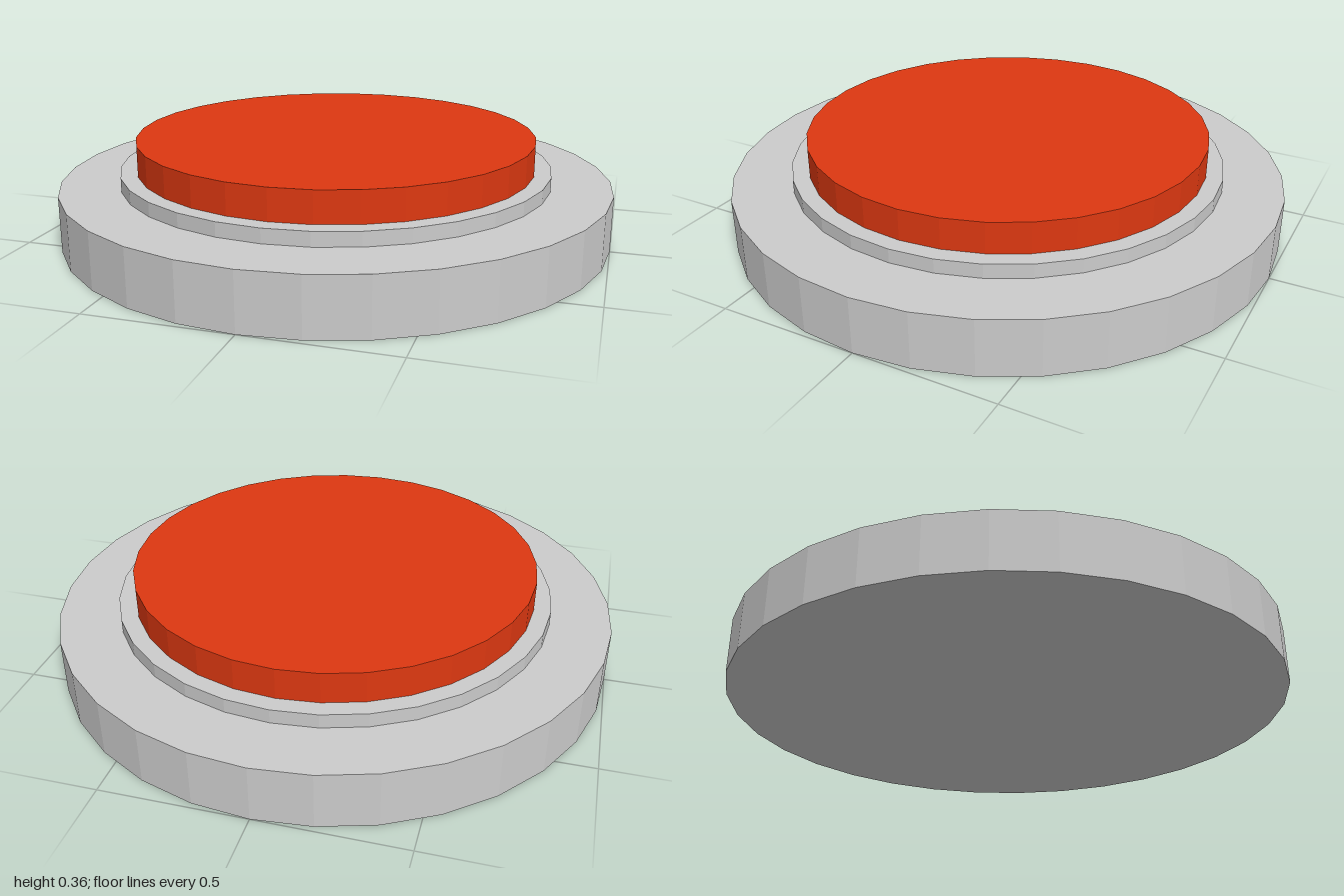
import * as THREE from 'three';

const SIDES = 32;

// Upright faceted disc spanning bottom..top
function disc(name, radius, bottom, top, material) {
  const geometry = new THREE.CylinderGeometry(radius, radius, top - bottom, SIDES);
  const mesh = new THREE.Mesh(geometry, material);
  mesh.name = name;
  mesh.position.y = (bottom + top) / 2;
  return mesh;
}

export function createModel() {
  const grey = new THREE.MeshStandardMaterial({ color: 0xcccccc, flatShading: true });
  const red = new THREE.MeshStandardMaterial({ color: 0xdd3811, flatShading: true });

  const model = new THREE.Group();
  model.name = 'pushButton';
  model.add(
    disc('base', 1, 0, 0.2, grey),            // wide foot
    disc('collar', 0.785, 0.2, 0.25, grey),   // thin step around the button
    disc('buttonCap', 0.725, 0.25, 0.36, red) // pressable top
  );
  return model;
}
